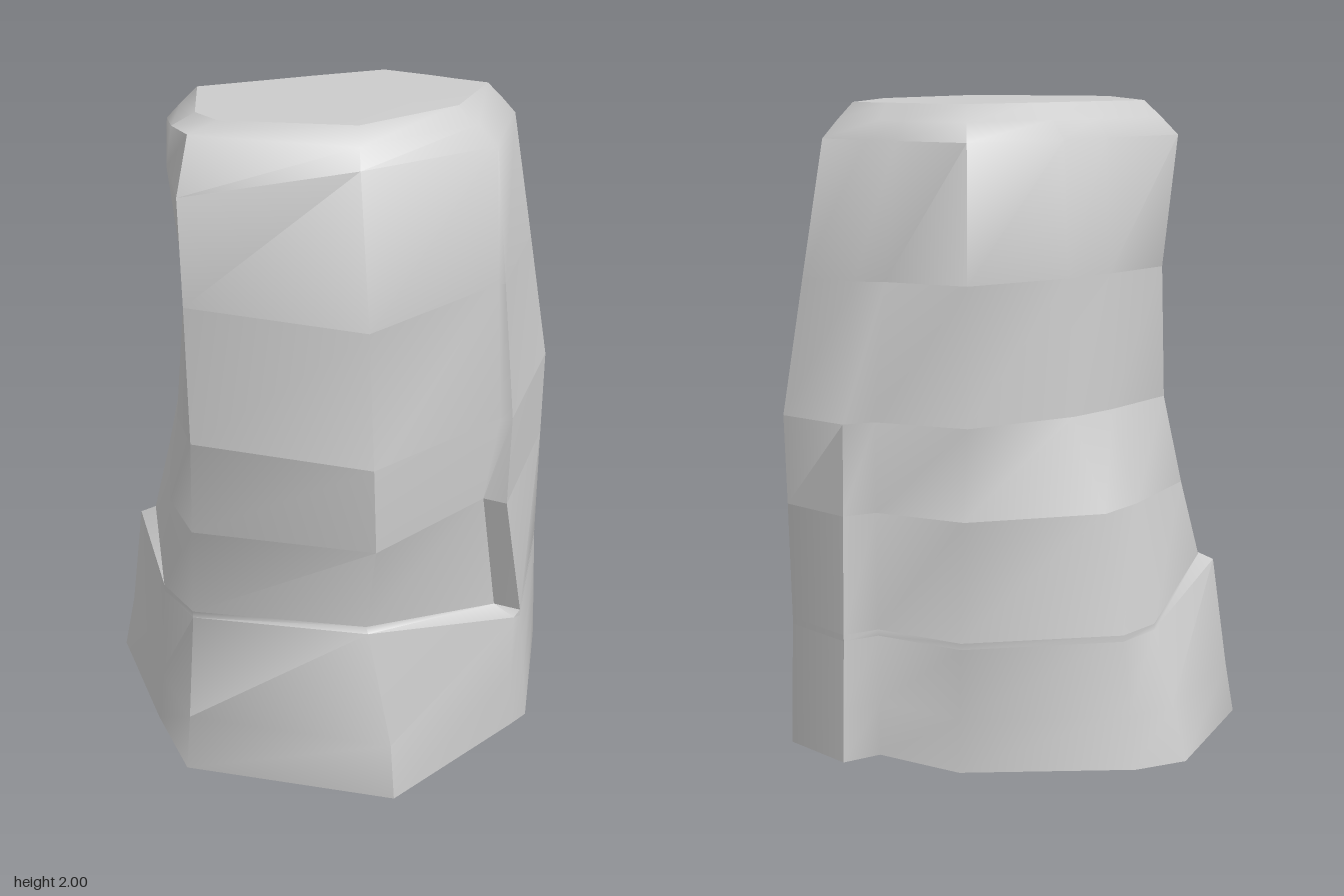
import * as THREE from 'three';
import { toCreasedNormals } from 'three/addons/utils/BufferGeometryUtils.js';

// Key outlines as x, z pairs, counterclockwise from above, starting at the front crack
const base = [.25, .63, .33, .61, .73, .2, .71, -.04, .59, -.07, .5, -.34, .09, -.69, -.07, -.75, -.5, -.58, -.66, -.07, -.74, .24, -.32, .75];
const ledge = [.23, .55, .27, .63, .715, .2, .70, -.04, .59, -.07, .49, -.34, .08, -.62, -.07, -.61, -.41, -.49, -.64, -.04, -.69, .22, -.31, .59];
const waist = [.21, .575, .235, .6, .73, .2, .68, -.03, .59, -.07, .45, -.33, .1, -.42, -.07, -.42, -.34, -.39, -.59, -.01, -.675, .21, -.33, .65];
const shoulder = [.2, .52, .21, .52, .59, .16, .55, 0, .52, -.1, .44, -.32, .1, -.37, -.07, -.385, -.36, -.41, -.62, .03, -.69, .2, -.31, .55];
const rim = [.16, .39, .165, .39, .48, .15, .44, .03, .42, -.05, .36, -.23, .1, -.27, -.07, -.29, -.3, -.32, -.52, .03, -.53, .17, -.25, .46];

// Outline between a and b at height y; move shifts single corners: { corner: [dx, dy, dz] }
function ring(a, b, t, y, move = {}) {
  const points = [];
  for (let i = 0; i < a.length / 2; i++) {
    const [dx, dy, dz] = move[i] ?? [0, 0, 0];
    points.push(new THREE.Vector3(
      THREE.MathUtils.lerp(a[2 * i], b[2 * i], t) + dx,
      y + dy,
      THREE.MathUtils.lerp(a[2 * i + 1], b[2 * i + 1], t) + dz));
  }
  return points;
}

// Skin through a stack of rings; normals are smooth except at sharp cracks
function bandGeometry(rings) {
  const out = [];
  const tri = (...pts) => pts.forEach((p) => out.push(p.x, p.y, p.z));
  const n = rings[0].length;
  for (let r = 0; r < rings.length - 1; r++) {
    for (let i = 0; i < n; i++) {
      const j = (i + 1) % n, lo = rings[r], hi = rings[r + 1];
      tri(lo[i], lo[j], hi[j]);
      tri(lo[i], hi[j], hi[i]);
    }
  }
  const geometry = new THREE.BufferGeometry();
  geometry.setAttribute('position', new THREE.Float32BufferAttribute(out, 3));
  return toCreasedNormals(geometry, THREE.MathUtils.degToRad(58));
}

export function createModel() {
  const group = new THREE.Group();
  group.name = 'rockPillar';
  const stone = new THREE.MeshStandardMaterial({ color: 0xcccccc, side: THREE.DoubleSide });
  const add = (name, geometry) => {
    const mesh = new THREE.Mesh(geometry, stone);
    mesh.name = name;
    group.add(mesh);
  };

  const ground = ring(base, base, 0, 0);
  const foot = ring(base, ledge, .4, .17, { 0: [0, 0, .03], 8: [0, 0, -.03], 11: [0, 0, .04] });
  // Lips of the front and back ledges, then the faces set back above them
  const lip = ring(ledge, ledge, 0, .39, { 0: [.015, 0, .08], 8: [-.04, .13, -.03], 9: [0, .08, 0], 10: [0, .11, 0], 11: [0, .1, .01] });
  const setBack = ring(ledge, ledge, 0, .41, { 8: [0, .13, 0], 9: [0, .08, 0], 10: [0, .11, 0], 11: [0, .1, 0] });
  const belly = ring(ledge, waist, .5, .78, { 0: [-.06, .02, 0], 1: [-.06, .02, .02], 6: [0, 0, -.03], 7: [0, 0, -.015], 11: [0, 0, .03] });
  const middle = ring(waist, waist, 0, 1.06, { 11: [0, -.02, 0] });
  const chest = ring(waist, shoulder, .5, 1.48, { 8: [.03, 0, .01], 9: [.03, 0, .03], 11: [0, -.04, .01] });
  const upper = ring(shoulder, shoulder, 0, 1.89, { 9: [0, -.04, 0], 10: [0, -.09, 0] });
  const bevel = ring(shoulder, rim, .5, 1.945, { 9: [-.03, .02, 0], 10: [-.03, .025, 0] });
  const crown = ring(rim, rim, 0, 1.995);

  // Pillar is open underneath; each band shades as its own weathered layer
  add('footing', bandGeometry([ground, foot, lip]));
  add('ledges', bandGeometry([lip, setBack]));
  add('lowerRock', bandGeometry([setBack, belly]));
  add('middleRock', bandGeometry([belly, middle]));
  add('upperRock', bandGeometry([middle, chest]));
  add('shoulderRock', bandGeometry([chest, upper, bevel, crown]));

  // Nearly flat top
  const peak = crown.map(() => new THREE.Vector3(-.05, 2, .05));
  add('top', bandGeometry([crown, peak]));
  return group;
}
